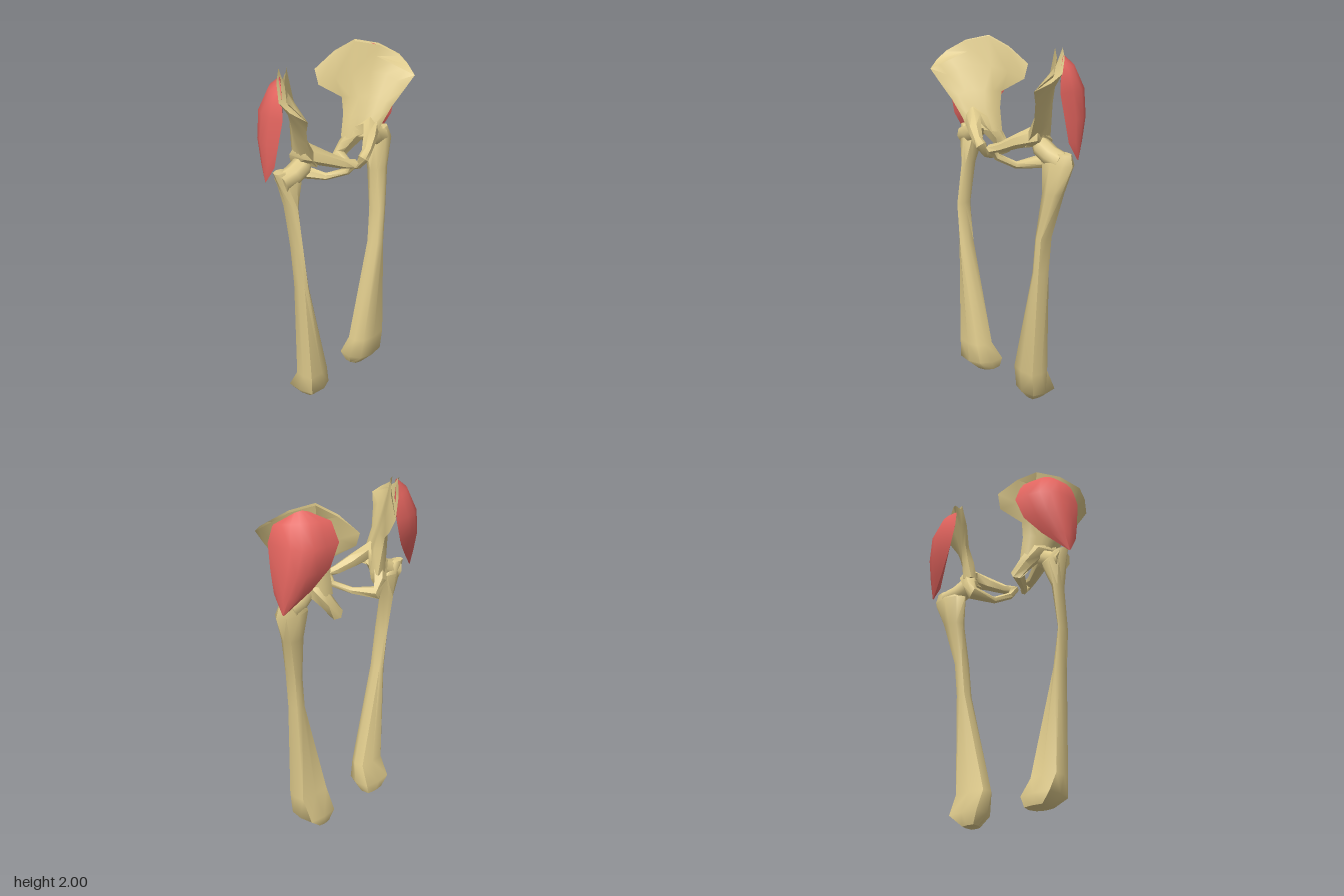
import * as THREE from 'three';
import { toCreasedNormals } from 'three/addons/utils/BufferGeometryUtils.js';

const bone = new THREE.MeshStandardMaterial({ color: 0xdfcb8c, side: THREE.DoubleSide });
const flesh = new THREE.MeshStandardMaterial({ color: 0xe4655f, side: THREE.DoubleSide });
const V = (x, y, z) => new THREE.Vector3(x, y, z);

// Skin a list of closed loops; ends are capped unless the loops form a ring
function loft(rows, ring = false) {
  const n = rows[0].length, m = rows.length, pts = rows.flat(), idx = [];
  for (let r = 0; r < (ring ? m : m - 1); r++)
    for (let i = 0; i < n; i++) {
      const a = r * n + i, b = r * n + (i + 1) % n;
      const c = ((r + 1) % m) * n + i, d = ((r + 1) % m) * n + (i + 1) % n;
      idx.push(a, b, d, a, d, c);
    }
  if (!ring) [0, m - 1].forEach((r) => {
    const mid = rows[r].reduce((s, p) => s.add(p), V(0, 0, 0)).divideScalar(n);
    const k = pts.push(mid) - 1;
    for (let i = 0; i < n; i++) {
      const a = r * n + i, b = r * n + (i + 1) % n;
      if (r) idx.push(a, b, k);
      else idx.push(b, a, k);
    }
  });
  // Turn the faces outward
  let volume = 0;
  for (let i = 0; i < idx.length; i += 3)
    volume += pts[idx[i]].dot(V(0, 0, 0).crossVectors(pts[idx[i + 1]], pts[idx[i + 2]]));
  if (volume < 0) idx.reverse();
  const g = new THREE.BufferGeometry().setFromPoints(pts);
  g.setIndex(idx);
  return toCreasedNormals(g, 1.0);
}

function part(name, geometry, material) {
  const mesh = new THREE.Mesh(geometry, material);
  mesh.name = name;
  return mesh;
}

// Tube of varying radius through [x, y, z, r] points
function limb(path, ref, ring, sides) {
  const m = path.length, at = (i) => V(path[i][0], path[i][1], path[i][2]);
  return loft(path.map((p, i) => {
    const next = ring ? (i + 1) % m : Math.min(i + 1, m - 1);
    const prev = ring ? (i + m - 1) % m : Math.max(i - 1, 0);
    const t = at(next).sub(at(prev)).normalize();
    const u = V(0, 0, 0).crossVectors(t, ref).normalize();
    const w = V(0, 0, 0).crossVectors(t, u);
    return Array.from({ length: sides }, (_, k) => {
      const a = k / sides * Math.PI * 2;
      return at(i).addScaledVector(u, Math.cos(a) * p[3]).addScaledVector(w, Math.sin(a) * p[3]);
    });
  }), ring);
}

// Ilium: rows from crest to socket, each a half thickness and a curve from back to front
const iliumRows = [
  [0.02, [0.13, 1.84, -0.225], [0.29, 1.995, -0.07], [0.475, 1.90, 0.095], [0.44, 1.82, 0.225]],
  [0.016, [0.12, 1.76, -0.19], [0.25, 1.83, -0.06], [0.39, 1.81, 0.07], [0.41, 1.75, 0.19]],
  [0.022, [0.20, 1.69, -0.09], [0.26, 1.70, -0.02], [0.33, 1.69, 0.06], [0.35, 1.65, 0.145]],
  [0.035, [0.195, 1.60, -0.075], [0.24, 1.60, -0.01], [0.28, 1.59, 0.05], [0.295, 1.56, 0.12]],
  [0.04, [0.17, 1.47, -0.07], [0.22, 1.48, -0.02], [0.25, 1.49, 0.04], [0.24, 1.48, 0.11]],
];

function ilium(s) {
  const shift = s < 0 ? 0.012 : 0;
  return loft(iliumRows.map(([t, ...row]) => {
    const line = new THREE.CatmullRomCurve3(row.map((p) => V(...p))).getPoints(6);
    const off = (p, d) => V(s * (p.x + shift + d * 0.7), p.y, p.z - d * 0.7);
    const inner = line.slice(1, -1).reverse();
    return [...line.map((p, i) => off(p, i % 6 ? t : 0)), ...inner.map((p) => off(p, -t))];
  }));
}

// Gluteal muscle: [back edge, bulge, front edge] of each row
const muscleRows = [
  [[0.488, 1.44, -0.035], [0.495, 1.44, -0.03], [0.495, 1.45, -0.02]],
  [[0.36, 1.56, -0.105], [0.485, 1.54, -0.065], [0.493, 1.54, 0.035]],
  [[0.27, 1.67, -0.15], [0.465, 1.66, -0.105], [0.49, 1.66, 0.06]],
  [[0.22, 1.80, -0.165], [0.435, 1.80, -0.12], [0.48, 1.80, 0.085]],
  [[0.24, 1.91, -0.13], [0.405, 1.92, -0.075], [0.46, 1.90, 0.065]],
  [[0.33, 1.965, -0.06], [0.37, 1.97, -0.03], [0.40, 1.95, 0.005]],
];

function muscle(s) {
  return loft(muscleRows.map((row) => {
    const [a, b, c] = row.map((p) => V(s * p[0], p[1], p[2]));
    const ctrl = b.clone().multiplyScalar(2).addScaledVector(a, -0.5).addScaledVector(c, -0.5);
    const outer = new THREE.QuadraticBezierCurve3(a, ctrl, c).getPoints(6);
    return [...outer, c.clone().lerp(a, 0.33), c.clone().lerp(a, 0.67)];
  }));
}

// Pubis and ischium: closed ring from the socket round the opening
const ringPath = [
  [0.265, 1.545, 0.07, 0.055], [0.18, 1.505, 0.125, 0.038], [0.10, 1.465, 0.165, 0.028],
  [0.045, 1.45, 0.185, 0.03], [0.05, 1.40, 0.15, 0.02], [0.10, 1.35, 0.06, 0.02],
  [0.155, 1.36, -0.075, 0.04], [0.19, 1.42, -0.055, 0.042], [0.235, 1.50, -0.01, 0.055],
];

function hipRing(s) {
  // The right ischium sits a little higher and further out
  const lift = (z) => (s < 0 && z < 0.1 ? 0.015 : 0);
  const path = ringPath.map(([x, y, z, r]) => [s * (x + lift(z)), y + lift(z), z, r]);
  return limb(path, V(s * 0.5, -0.73, 0.45), true, 6);
}

// Head and neck of the femur
const neckPath = [[0.42, 1.42, 0.01, 0.055], [0.34, 1.445, 0.025, 0.055], [0.285, 1.48, 0.035, 0.055], [0.24, 1.52, 0.035, 0.035]];
const neck = (s) => limb(neckPath.map(([x, ...rest]) => [s * x, ...rest]), V(0, 0, 1), false, 8);

// Femur shafts: sections [y, inner x, outer x, back z, front z]
const leftShaft = [
  [1.47, 0.36, 0.485, -0.02, 0.04], [1.41, 0.28, 0.503, -0.045, 0.075], [1.25, 0.31, 0.44, -0.02, 0.085],
  [1.0, 0.303, 0.37, 0.02, 0.115], [0.8, 0.285, 0.355, 0.025, 0.118],
  [0.2, 0.128, 0.344, 0.015, 0.138], [0.07, 0.125, 0.338, -0.05, 0.13], [0, 0.165, 0.25, -0.03, 0.06],
];
const rightShaft = [
  [1.48, 0.37, 0.46, -0.03, 0.03], [1.42, 0.28, 0.44, -0.045, 0.07], [1.27, 0.343, 0.395, -0.02, 0.08],
  [1.03, 0.36, 0.38, 0.02, 0.115], [0.8, 0.318, 0.365, 0.025, 0.12],
  [0.2, 0.16, 0.346, 0.015, 0.14], [0.09, 0.136, 0.344, -0.05, 0.145], [0.03, 0.16, 0.29, -0.04, 0.08],
];

// Eight-sided sections, squarer towards the knee except at the inner front corner
function femur(s) {
  return loft((s > 0 ? leftShaft : rightShaft).map(([y, x0, x1, z0, z1]) =>
    Array.from({ length: 8 }, (_, k) => {
      const a = k / 8 * Math.PI * 2;
      const f = (k % 2 && k !== 3 && y < 1.1 ? (y < 0.3 ? 1.24 : 1.12) : 1) / 2;
      return V(s * ((x0 + x1) / 2 + (x1 - x0) * f * Math.cos(a)), y, (z0 + z1) / 2 + (z1 - z0) * f * Math.sin(a));
    })));
}

export function createModel() {
  const model = new THREE.Group();
  model.name = 'hipsAndThighs';
  for (const s of [1, -1]) {
    const side = new THREE.Group();
    side.name = s > 0 ? 'leftHip' : 'rightHip';
    side.add(
      part('ilium', ilium(s), bone),
      part('pubisAndIschium', hipRing(s), bone),
      part('femur', femur(s), bone),
      part('femurNeck', neck(s), bone),
      part('glutealMuscle', muscle(s), flesh),
    );
    model.add(side);
  }
  return model;
}
